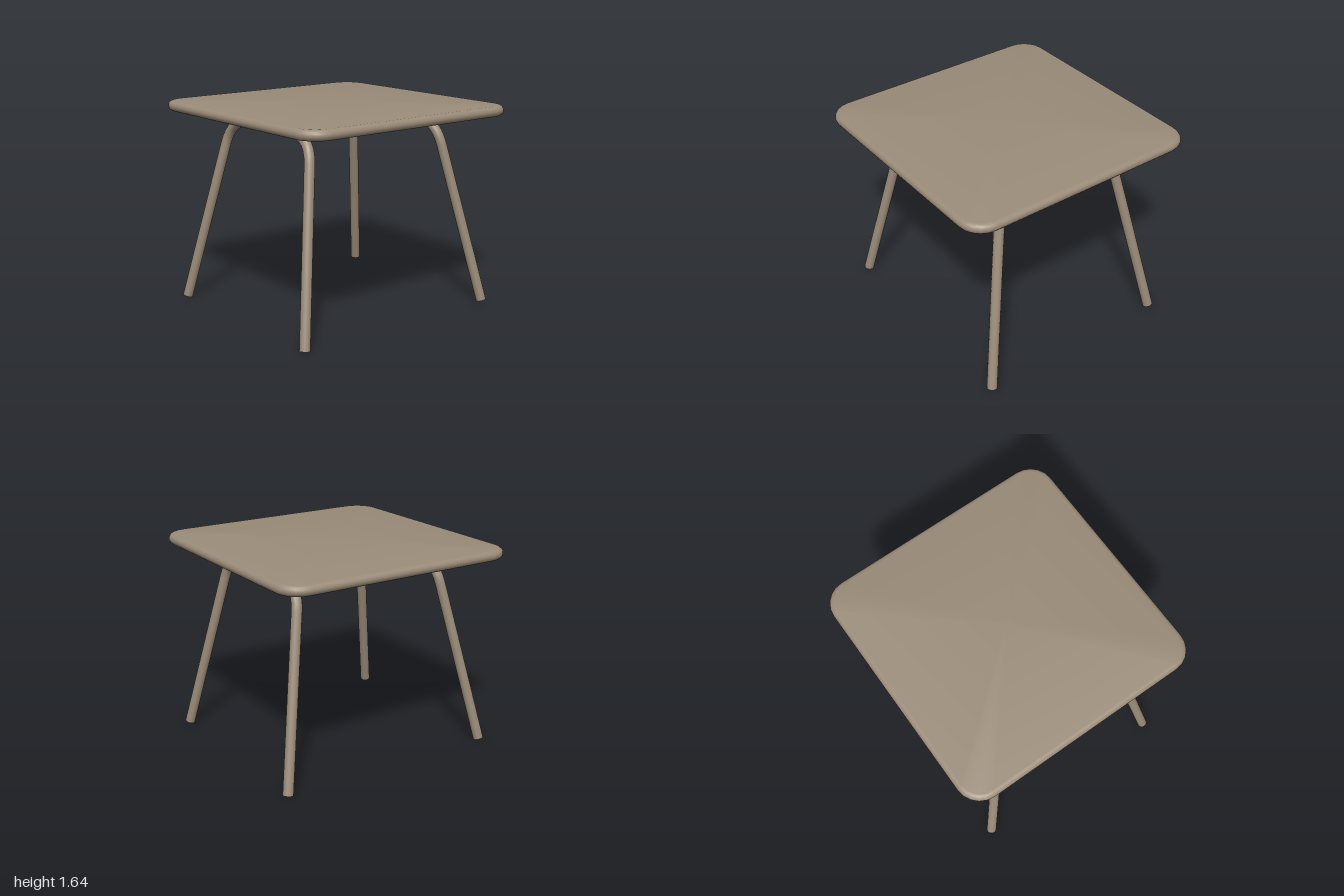
import * as THREE from 'three';
import { toCreasedNormals } from 'three/addons/utils/BufferGeometryUtils.js';

const taupe = new THREE.MeshStandardMaterial({ color: 0x9b8c79 });
taupe.name = 'taupe paint';

function add(parent, name, geometry, x = 0, y = 0, z = 0) {
  const mesh = new THREE.Mesh(geometry, taupe);
  mesh.name = name;
  mesh.position.set(x, y, z);
  parent.add(mesh);
  return mesh;
}

// Square tray with rounded corners: rings of the rim section, closed above and below.
function trayGeometry() {
  const profile = [];
  for (let i = 0; i <= 8; i++) {
    const a = (i / 8) * Math.PI;
    profile.push([0.04 - 0.04 * Math.sin(a), 1.605 + 0.04 * Math.cos(a)]);
  }
  profile.push([0.05, 1.568], [0.056, 1.602]);
  const steps = 5, count = 4 * (steps + 1);
  const positions = [0, 1.645, 0], index = [];
  for (const [inset, y] of profile) {
    for (let c = 0; c < 4; c++) {
      for (let s = 0; s <= steps; s++) {
        const a = (c + s / steps) * Math.PI / 2;
        const mid = (c + 0.5) * Math.PI / 2;
        const r = 0.19 - inset;
        positions.push(
          Math.sign(Math.cos(mid)) * 0.81 + r * Math.cos(a), y,
          Math.sign(Math.sin(mid)) * 0.81 + r * Math.sin(a));
      }
    }
  }
  const last = positions.length / 3;
  positions.push(0, 1.602, 0);
  const at = (ring, k) => 1 + ring * count + (k % count);
  for (let k = 0; k < count; k++) {
    index.push(0, at(0, k + 1), at(0, k));
    for (let r = 0; r < profile.length - 1; r++) {
      index.push(at(r, k), at(r, k + 1), at(r + 1, k));
      index.push(at(r, k + 1), at(r + 1, k + 1), at(r + 1, k));
    }
    index.push(last, at(profile.length - 1, k), at(profile.length - 1, k + 1));
  }
  const geometry = new THREE.BufferGeometry();
  geometry.setAttribute('position', new THREE.Float32BufferAttribute(positions, 3));
  geometry.setIndex(index);
  return toCreasedNormals(geometry, 0.7);
}

// One bent tube makes a pair of legs and the bar between them.
function legFrame() {
  const frame = new THREE.Group();
  const point = (x, y) => new THREE.Vector3(x, y, 0.625 + (1.51 - y) * 0.191);
  const path = new THREE.CurvePath();
  path.add(new THREE.LineCurve3(point(-0.805, 0.018), point(-0.55, 1.31)));
  path.add(new THREE.QuadraticBezierCurve3(point(-0.55, 1.31), point(-0.511, 1.51), point(-0.29, 1.51)));
  path.add(new THREE.LineCurve3(point(-0.29, 1.51), point(0.29, 1.51)));
  path.add(new THREE.QuadraticBezierCurve3(point(0.29, 1.51), point(0.511, 1.51), point(0.55, 1.31)));
  path.add(new THREE.LineCurve3(point(0.55, 1.31), point(0.805, 0.018)));
  add(frame, 'legTube', new THREE.TubeGeometry(path, 80, 0.041, 14));
  for (const t of [0, 1]) {
    const p = path.getPoint(t);
    const cap = add(frame, 'footCap', new THREE.CircleGeometry(0.041, 14), p.x, p.y, p.z);
    cap.lookAt(p.clone().addScaledVector(path.getTangent(t), t ? 1 : -1));
  }
  return frame;
}

export function createModel() {
  const table = new THREE.Group();
  table.name = 'table';
  add(table, 'tabletop', trayGeometry());

  for (const [name, turn] of [['frontLegs', 0], ['backLegs', Math.PI]]) {
    const legs = legFrame();
    legs.name = name;
    legs.rotation.y = turn;
    table.add(legs);
  }

  // Mounting straps under the top, with clamp plates and bolts at each end
  for (const x of [-0.26, 0.26]) {
    add(table, 'strap', new THREE.BoxGeometry(0.08, 0.02, 1.8), x, 1.593, 0);
    for (const side of [-1, 1]) {
      add(table, 'clampPlate', new THREE.BoxGeometry(0.08, 0.04, 0.46), x, 1.571, side * 0.675);
      for (const z of [0.485, 0.765]) {
        const bolt = new THREE.Group();
        bolt.name = 'bolt';
        bolt.position.set(x, 0, side * z);
        add(bolt, 'washer', new THREE.CylinderGeometry(0.035, 0.035, 0.006, 12), 0, 1.548, 0);
        add(bolt, 'nut', new THREE.CylinderGeometry(0.02, 0.02, 0.014, 6), 0, 1.538, 0);
        add(bolt, 'boltEnd', new THREE.CylinderGeometry(0.012, 0.012, 0.012, 10), 0, 1.527, 0);
        table.add(bolt);
      }
    }
  }
  return table;
}
